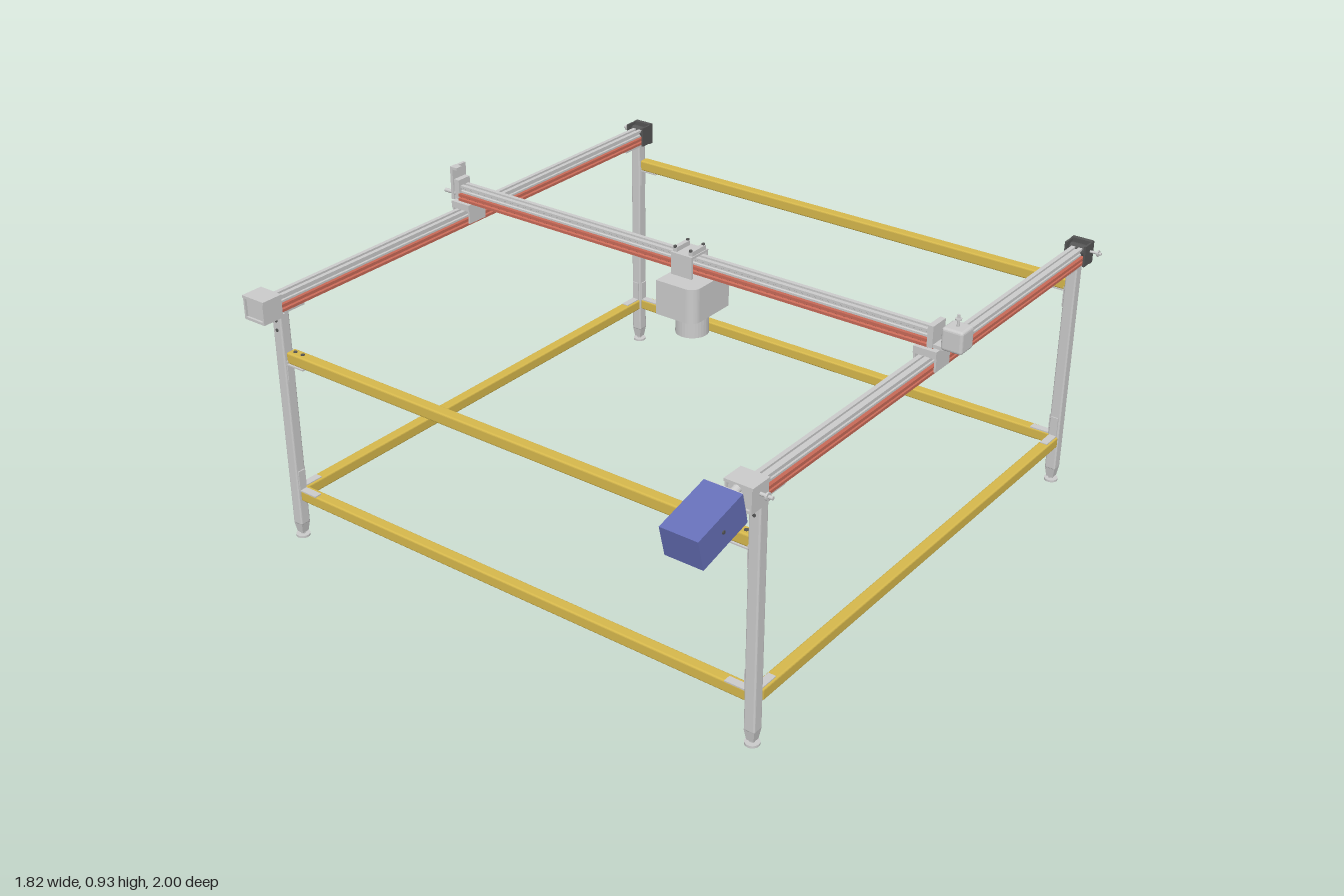
import * as THREE from 'three';
import { RoundedBoxGeometry } from 'three/addons/geometries/RoundedBoxGeometry.js';

const paint = (color) => new THREE.MeshStandardMaterial({ color, flatShading: true });
const GREY = paint(0xcccccc), GOLD = paint(0xd6b84c), RED = paint(0xc86a58);
const BLUE = paint(0x6670b8), DARK = paint(0x555555);

function add(parent, name, geometry, material, x = 0, y = 0, z = 0) {
  const mesh = new THREE.Mesh(geometry, material);
  mesh.name = name;
  mesh.position.set(x, y, z);
  parent.add(mesh);
  return mesh;
}

// box given by its limits on each axis
function box(parent, name, x0, x1, y0, y1, z0, z1, material = GREY) {
  return add(parent, name, new THREE.BoxGeometry(x1 - x0, y1 - y0, z1 - z0), material,
    (x0 + x1) / 2, (y0 + y1) / 2, (z0 + z1) / 2);
}

// cylinder along the chosen axis
function rod(parent, name, r, length, axis, x, y, z, material = GREY, sides = 20) {
  const g = new THREE.CylinderGeometry(r, r, length, sides);
  if (axis === 'x') g.rotateZ(Math.PI / 2);
  if (axis === 'z') g.rotateX(Math.PI / 2);
  return add(parent, name, g, material, x, y, z);
}

// extrusion of a profile mirrored about x = 0, centred along z
function mirroredBeam(half, length) {
  const all = [...half, ...half.slice().reverse().map(([x, y]) => [-x, y])];
  const shape = new THREE.Shape(all.map(([x, y]) => new THREE.Vector2(x, y)));
  return new THREE.ExtrudeGeometry(shape, { depth: length, bevelEnabled: false })
    .translate(0, 0, -length / 2);
}

// linear rail: red slotted base under a grooved grey track, running along z
function rail(name, length) {
  const g = new THREE.Group();
  g.name = name;
  add(g, 'railBase', mirroredBeam([[0.006, 0.006], [0.006, 0], [0.027, 0], [0.027, 0.008],
    [0.022, 0.011], [0.027, 0.014], [0.027, 0.023], [0.006, 0.023]], length), RED);
  add(g, 'railTrack', mirroredBeam([[0.016, 0.023], [0.016, 0.029], [0.013, 0.032],
    [0.013, 0.037], [0.018, 0.04], [0.018, 0.047], [0.005, 0.047], [0.005, 0.041]], length), GREY);
  return g;
}

export function createModel() {
  const model = new THREE.Group();
  model.name = 'gantryMachine';
  const legX = [-0.835, 0.8], legZ = [0.685, -0.96], w = 0.035;

  // legs with levelling feet and corner brackets
  for (const x of legX) for (const z of legZ) {
    const leg = new THREE.Group();
    leg.name = 'leg';
    leg.position.set(x, 0, z);
    model.add(leg);
    add(leg, 'legTube', new RoundedBoxGeometry(w, 0.7, w, 2, 0.005), GREY, 0, 0.395, 0);
    add(leg, 'legEnd', new THREE.CylinderGeometry(0.0235, 0.016, 0.035, 4).rotateY(Math.PI / 4),
      GREY, 0, 0.032, 0);
    rod(leg, 'footStem', 0.007, 0.03, 'y', 0, 0.018, 0);
    rod(leg, 'footPad', 0.021, 0.007, 'y', 0, 0.0035, 0);
    const sx = -Math.sign(x), sz = -Math.sign(z), yTop = z > 0 ? 0.602 : 0.672;
    for (const y of [0.147, yTop]) {
      const upright = add(leg, 'cornerBracket', new THREE.BoxGeometry(0.004, 0.065, 0.024), GREY,
        sx * 0.0195, y + (y < 0.3 ? 0.05 : -0.04), 0);
      add(leg, 'cornerBracket', new THREE.BoxGeometry(0.065, 0.004, 0.024), GREY,
        sx * 0.05, y + (y < 0.3 ? 0.0185 : -0.0185), 0);
      if (y < 0.3) {
        add(leg, 'sideBracket', new THREE.BoxGeometry(0.024, 0.065, 0.004), GREY,
          0, upright.position.y, sz * 0.0195);
        add(leg, 'sideBracket', new THREE.BoxGeometry(0.024, 0.004, 0.065), GREY,
          0, y + 0.0185, sz * 0.05);
      }
    }
    for (const y of [0.69, 0.72]) rod(leg, 'legBolt', 0.005, 0.004, 'z', 0, y, -sz * 0.018, DARK, 10);
  }

  // cross bars and side bars
  const crossBar = (name, y, z) =>
    add(model, name, new RoundedBoxGeometry(1.605, w, w, 2, 0.005), GOLD, -0.0175, y, z);
  crossBar('frontLowerBar', 0.145, 0.675);
  crossBar('backLowerBar', 0.145, -0.967);
  crossBar('frontUpperBar', 0.602, 0.675);
  crossBar('backUpperBar', 0.672, -0.967);
  for (const x of legX)
    add(model, 'sideLowerBar', new RoundedBoxGeometry(w, w, 1.61, 2, 0.005), GOLD, x, 0.147, -0.137);
  for (const x of [-0.8, -0.77, 0.73, 0.76])
    rod(model, 'barBolt', 0.006, 0.004, 'y', x, 0.62, 0.675, DARK, 10);

  // long rails with end gearboxes, back idlers and gantry carriages
  for (const x of legX) {
    const side = Math.sign(x), cx = x + side * 0.003;
    const r = rail('longRail', 1.69);
    r.position.set(cx, 0.75, -0.145);
    model.add(r);

    const gear = new THREE.Group();
    gear.name = 'frontDrive';
    gear.position.set(cx, 0.778, 0.742);
    model.add(gear);
    box(gear, 'driveTopPlate', -0.042, 0.042, 0.028, 0.036, -0.035, 0.035);
    box(gear, 'driveBottomPlate', -0.036, 0.036, -0.036, -0.028, -0.045, 0.035);
    box(gear, 'driveBody', -0.033, 0.033, -0.028, 0.028, -0.03, 0.028);
    for (const s of [-1, 1]) box(gear, 'driveCheek', s * 0.036 - 0.003, s * 0.036 + 0.003,
      -0.036, 0.036, -0.035, 0.035);
    rod(gear, 'driveShaft', 0.005, 0.05, 'x', side * 0.05, 0.006, 0);
    rod(gear, 'driveCollar', 0.011, 0.005, 'x', side * 0.06, 0.006, 0);

    box(model, 'railEndPlate', cx - 0.033, cx + 0.033, 0.742, 0.812, -1, -0.985, DARK);
    for (const s of [-1, 1]) box(model, 'idlerCheek', cx + s * 0.031 - 0.003,
      cx + s * 0.031 + 0.003, 0.745, 0.81, -1, -0.945, DARK);
    rod(model, 'idlerPulley', 0.018, 0.05, 'x', cx, 0.785, -0.972, DARK);
    rod(model, 'idlerShaft', 0.004, 0.05, 'x', cx + side * 0.045, 0.785, -0.978);
    rod(model, 'idlerCollar', 0.01, 0.004, 'x', cx + side * 0.06, 0.785, -0.978);
    for (const z of [-0.92, 0.66])
      box(model, 'railMount', cx - 0.022, cx + 0.022, 0.741, 0.749, z - 0.05, z + 0.05);

    box(model, 'gantryCarriage', cx - 0.035, cx + 0.035, 0.798, 0.819, -0.148, -0.07);
    for (const s of [-1, 1]) box(model, 'carriageCheek', cx + s * 0.032 - 0.003,
      cx + s * 0.032 + 0.003, 0.758, 0.8, -0.145, -0.073);
  }

  // tilted drive motor at the right-hand front
  const motor = add(model, 'driveMotor', new THREE.BoxGeometry(0.11, 0.089, 0.177), BLUE,
    0.798, 0.765, 0.905);
  motor.rotation.x = 0.245;
  box(motor, 'motorFlange', -0.05, 0.05, -0.038, 0.038, -0.096, -0.088);
  rod(motor, 'motorShaft', 0.012, 0.05, 'z', 0, 0, -0.11);
  for (const s of [-1, 1]) rod(motor, 'motorBolt', 0.005, 0.004, 'x', s * 0.056, 0, 0, DARK, 10);

  // gantry rail across the machine
  const gantry = rail('gantryRail', 1.675);
  gantry.rotation.y = Math.PI / 2;
  gantry.position.set(-0.018, 0.819, -0.11);
  model.add(gantry);

  // gantry motor on the left end, belt idler on the other
  box(model, 'gantryMotorPlate', 0.803, 0.82, 0.822, 0.886, -0.142, -0.078);
  box(model, 'gantryMotorArm', 0.82, 0.85, 0.822, 0.832, -0.137, -0.083);
  add(model, 'gantryMotor', new RoundedBoxGeometry(0.064, 0.066, 0.064, 2, 0.008), GREY,
    0.874, 0.858, -0.11);
  rod(model, 'gantryMotorShaft', 0.004, 0.04, 'y', 0.874, 0.905, -0.11);
  rod(model, 'gantryMotorCollar', 0.009, 0.005, 'y', 0.874, 0.912, -0.11);
  box(model, 'gantryIdlerPlate', -0.882, -0.872, 0.82, 0.925, -0.14, -0.08);
  box(model, 'gantryIdlerLip', -0.882, -0.855, 0.918, 0.926, -0.105, -0.08);
  box(model, 'gantryIdlerBlock', -0.872, -0.853, 0.822, 0.885, -0.135, -0.085);
  rod(model, 'gantryIdlerShaft', 0.006, 0.045, 'x', -0.89, 0.84, -0.088);

  // tool carriage riding over the gantry rail
  box(model, 'toolCarriagePlate', -0.028, 0.045, 0.867, 0.874, -0.15, -0.07);
  for (const z of [-0.146, -0.074])
    box(model, 'toolCarriageCheek', -0.028, 0.045, 0.8, 0.87, z - 0.004, z + 0.004);
  for (const x of [-0.02, 0.035]) {
    box(model, 'beltClamp', x - 0.007, x + 0.007, 0.872, 0.888, -0.142, -0.078);
    for (const z of [-0.14, -0.08]) rod(model, 'carriageBolt', 0.005, 0.006, 'y', x, 0.889, z, DARK, 10);
  }

  // tool head with rounded front corner, and spindle below
  const plan = new THREE.Shape();
  plan.moveTo(-0.035, -0.18);
  plan.lineTo(0.098, -0.18);
  plan.lineTo(0.098, -0.04);
  plan.absarc(0.068, -0.04, 0.03, 0, Math.PI / 2, false);
  plan.lineTo(-0.035, -0.01);
  const head = (depth) => new THREE.ExtrudeGeometry(plan, { depth, bevelEnabled: false, curveSegments: 6 })
    .rotateX(Math.PI / 2);
  add(model, 'toolHead', head(0.106), GREY, 0, 0.806, 0);
  rod(model, 'spindleCollar', 0.052, 0.012, 'y', 0.022, 0.697, -0.107, GREY, 32);
  rod(model, 'spindle', 0.049, 0.078, 'y', 0.022, 0.663, -0.107, GREY, 32);
  rod(model, 'spindleNose', 0.03, 0.006, 'y', 0.022, 0.622, -0.107, DARK, 24);

  return model;
}
